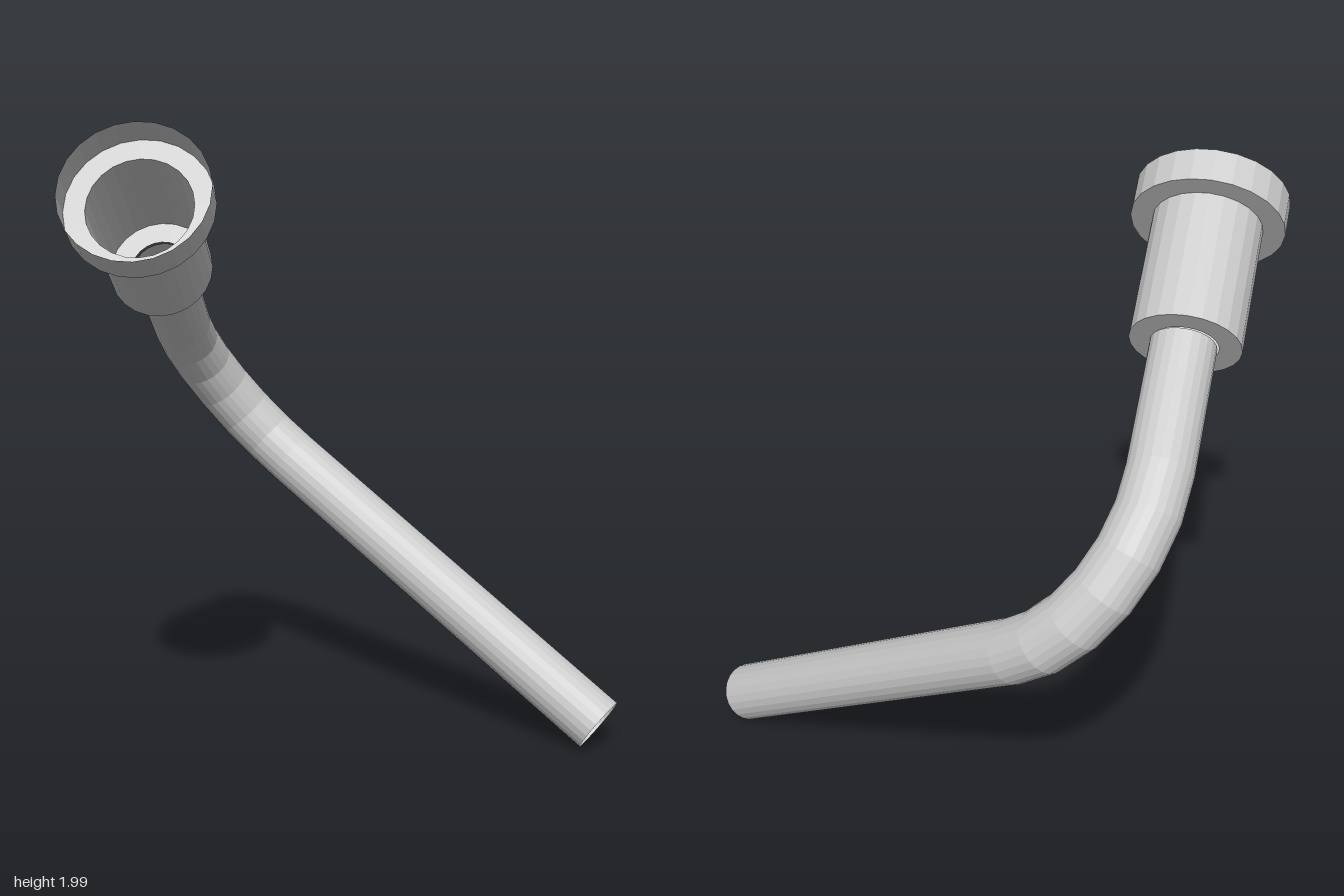
import * as THREE from 'three';

const SIDES = 24;
const PIPE_R = 0.093, BEND_R = 0.455;

export function createModel() {
  const group = new THREE.Group();
  const material = new THREE.MeshStandardMaterial({
    color: 0xcccccc, flatShading: true, side: THREE.DoubleSide,
  });

  // Centre line: lower pipe runs along u, then a quarter bend turns it towards d
  const start = new THREE.Vector3(0.71, 0.085, -0.535);
  const corner = new THREE.Vector3(-0.805, 1.087, -0.535);
  const mouth = new THREE.Vector3(-0.335, 1.81, 0.48);
  const u = corner.clone().sub(start).normalize();
  const d = mouth.clone().sub(corner);
  d.addScaledVector(u, -d.dot(u)).normalize();
  const side = new THREE.Vector3().crossVectors(u, d);
  const bendStart = corner.clone().addScaledVector(u, -BEND_R);
  const bendEnd = corner.clone().addScaledVector(d, BEND_R);
  const bendCentre = bendStart.clone().addScaledVector(d, BEND_R);

  // Places a geometry with its local x and y axes along the given directions
  function add(name, geometry, origin, xAxis, yAxis) {
    const mesh = new THREE.Mesh(geometry, material);
    mesh.name = name;
    const zAxis = new THREE.Vector3().crossVectors(xAxis, yAxis);
    mesh.quaternion.setFromRotationMatrix(new THREE.Matrix4().makeBasis(xAxis, yAxis, zAxis));
    mesh.position.copy(origin);
    group.add(mesh);
  }
  // Thin open surface turned around its local y axis
  const turned = (points) =>
    new THREE.LatheGeometry(points.map(([r, y]) => new THREE.Vector2(r, y)), SIDES);

  // Open-ended pipe with its quarter bend
  const lowerLength = start.distanceTo(bendStart);
  add('lowerPipe', turned([[PIPE_R, 0], [PIPE_R, lowerLength]]), start, side, u);
  add('bend', new THREE.TorusGeometry(BEND_R, PIPE_R, SIDES, 6, Math.PI / 2),
    bendCentre, d.clone().negate(), u);

  const cupBack = mouth.clone().addScaledVector(d, -0.49);
  const upperLength = bendEnd.distanceTo(cupBack);
  add('upperPipe', turned([[PIPE_R, 0], [PIPE_R, upperLength]]), bendEnd, side, d);

  // Stepped socket: back ring, body, shoulder ring and wide rim
  add('socketBody', turned([[PIPE_R, 0], [0.157, 0], [0.157, 0.39]]), cupBack, side, d);
  add('socketRim', turned([[0.157, 0.39], [0.22, 0.39], [0.22, 0.49]]), cupBack, side, d);

  return group;
}
